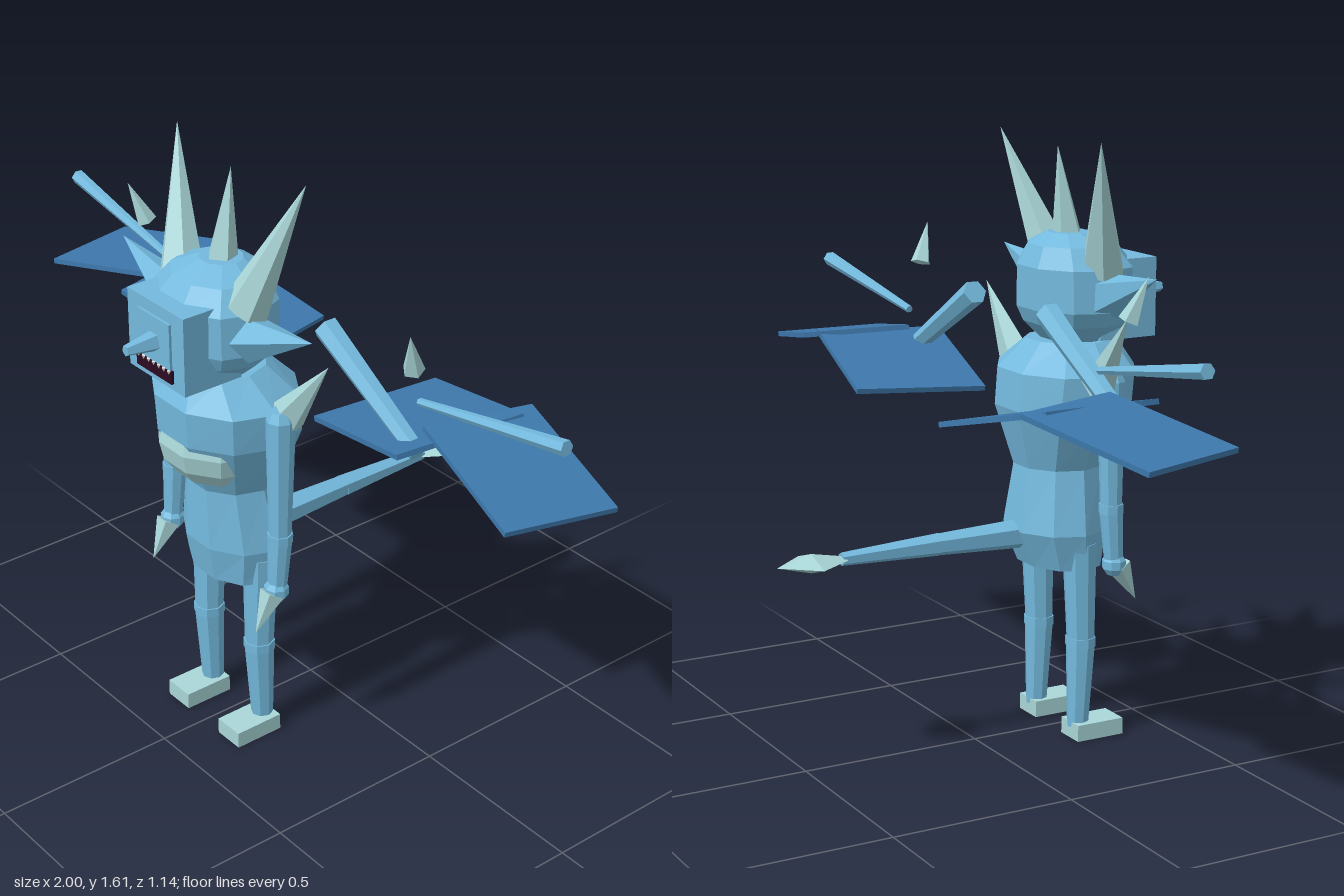
import * as THREE from 'three';

const paint = (name, color) => {
  const m = new THREE.MeshStandardMaterial({ color, flatShading: true });
  m.name = name;
  return m;
};
const V = (x, y, z) => new THREE.Vector3(x, y, z);

export function createModel() {
  const skin = paint('sky blue skin', 0x74bade);
  const bone = paint('pale horn', 0xa9d6d8);
  const membrane = paint('deep blue membrane', 0x3d78ac);
  const maw = paint('dark mouth', 0x2c0a22);
  const ivory = paint('ivory teeth', 0xf0eee4);
  const model = new THREE.Group();

  const add = (name, geo, mat, parent = model) => {
    const m = new THREE.Mesh(geo, mat);
    m.name = name;
    parent.add(m);
    return m;
  };
  const box = (name, mat, w, h, d, x, y, z, parent) => {
    const m = add(name, new THREE.BoxGeometry(w, h, d), mat, parent);
    m.position.set(x, y, z);
    return m;
  };
  // tapered limb from a to b; an end radius of 0 makes a spike
  const rod = (name, mat, a, b, ra, rb, sides = 6, parent = model) => {
    const dir = b.clone().sub(a);
    const m = add(name, new THREE.CylinderGeometry(rb, ra, dir.length(), sides), mat, parent);
    m.position.copy(a).add(b).multiplyScalar(0.5);
    m.quaternion.setFromUnitVectors(V(0, 1, 0), dir.normalize());
    return m;
  };
  // stacked elliptical rings: [y, half width, centre z, half depth]
  const loft = (name, mat, rings, sides = 10) => {
    const n = rings.length - 1;
    const g = new THREE.CylinderGeometry(1, 1, 1, sides, n, false, Math.PI / sides);
    const p = g.attributes.position;
    for (let i = 0; i < p.count; i++) {
      const [y, rx, zc, rz] = rings[Math.round((p.getY(i) + 0.5) * n)];
      p.setXYZ(i, p.getX(i) * rx, y, zc + p.getZ(i) * rz);
    }
    g.computeVertexNormals();
    return add(name, g, mat);
  };
  // thin rectangular plate spanned by three neighbouring corners
  const plate = (name, mat, a, b, c, thick, parent) => {
    const u = a.clone().sub(b), v = c.clone().sub(b);
    const m = add(name, new THREE.BoxGeometry(u.length(), thick, v.length()), mat, parent);
    m.position.copy(a).add(c).multiplyScalar(0.5);
    const x = u.normalize(), y = v.clone().cross(x).normalize();
    m.quaternion.setFromRotationMatrix(new THREE.Matrix4().makeBasis(x, y, x.clone().cross(y)));
    return m;
  };

  // torso and belly
  loft('torso', skin, [
    [0.47, 0.145, 0.255, 0.105], [0.57, 0.163, 0.243, 0.136], [0.74, 0.13, 0.255, 0.122],
    [0.9, 0.205, 0.268, 0.182], [1.0, 0.212, 0.275, 0.18], [1.075, 0.12, 0.29, 0.12],
  ]);
  const belly = add('belly', new THREE.SphereGeometry(1, 10, 8), bone);
  belly.scale.set(0.165, 0.135, 0.155);
  belly.position.set(0, 0.87, 0.3);

  // head, muzzle, nose and mouth
  loft('head', skin, [
    [1.065, 0.09, 0.3, 0.08], [1.12, 0.155, 0.3, 0.135], [1.16, 0.178, 0.3, 0.152],
    [1.27, 0.175, 0.3, 0.152], [1.325, 0.13, 0.29, 0.115], [1.355, 0.06, 0.28, 0.055],
  ]);
  box('muzzle', skin, 0.23, 0.21, 0.17, 0, 1.183, 0.395);
  box('muzzlePlate', skin, 0.13, 0.13, 0.01, 0, 1.19, 0.482);
  rod('nose', skin, V(0, 1.187, 0.47), V(0, 1.187, 0.57), 0.03, 0.014, 5);
  box('mouth', maw, 0.145, 0.034, 0.008, 0, 1.115, 0.485);
  for (let i = 0; i < 7; i++) {
    const x = (i - 3) * 0.021;
    rod('tooth', ivory, V(x, 1.133, 0.489), V(x, 1.122, 0.489), 0.006, 0, 4);
  }
  rod('crestSpike', bone, V(0, 1.32, 0.28), V(0, 1.58, 0.245), 0.045, 0, 5);

  // tail with a flat barbed tip
  rod('tailBase', skin, V(0, 0.555, 0.17), V(0, 0.557, -0.13), 0.042, 0.029);
  rod('tailEnd', skin, V(0, 0.557, -0.11), V(0, 0.555, -0.39), 0.031, 0.018);
  const barb = new THREE.Group();
  barb.name = 'tailBarb';
  barb.scale.set(1, 0.32, 1);
  barb.position.y = 0.555;
  rod('barbBase', bone, V(0, 0, -0.38), V(0, 0, -0.475), 0.02, 0.08, 4, barb);
  rod('barbPoint', bone, V(0, 0, -0.475), V(0, 0, -0.57), 0.08, 0, 4, barb);
  model.add(barb);

  for (const s of [1, -1]) {
    const P = (x, y, z) => V(s * x, y, z);

    // horns, ears and shoulder spikes
    rod('horn', bone, P(0.13, 1.27, 0.305), P(0.255, 1.61, 0.218), 0.06, 0, 6);
    rod('ear', skin, P(0.15, 1.2, 0.31), P(0.385, 1.277, 0.305), 0.062, 0, 5);
    rod('shoulderSpike', bone, P(0.21, 0.98, 0.25), P(0.36, 1.18, 0.235), 0.05, 0, 5);

    // arms
    rod('upperArm', skin, P(0.225, 0.65, 0.28), P(0.225, 0.995, 0.275), 0.029, 0.038, 8);
    rod('shoulderCap', skin, P(0.225, 0.995, 0.275), P(0.225, 1.02, 0.275), 0.038, 0.025, 8);
    rod('elbow', skin, P(0.225, 0.645, 0.28), P(0.225, 0.67, 0.28), 0.033, 0.033, 8);
    rod('forearm', skin, P(0.225, 0.51, 0.29), P(0.225, 0.655, 0.28), 0.025, 0.032, 8);
    const hand = add('hand', new THREE.SphereGeometry(0.034, 8, 5), skin);
    hand.position.copy(P(0.225, 0.505, 0.292));
    rod('claw', bone, P(0.225, 0.5, 0.305), P(0.225, 0.4, 0.36), 0.034, 0, 5);

    // legs
    rod('thigh', skin, P(0.11, 0.265, 0.262), P(0.11, 0.54, 0.255), 0.038, 0.047, 8);
    rod('knee', skin, P(0.11, 0.255, 0.262), P(0.11, 0.28, 0.262), 0.042, 0.042, 8);
    rod('shin', skin, P(0.11, 0.03, 0.255), P(0.11, 0.265, 0.262), 0.029, 0.04, 8);
    box('foot', bone, 0.088, 0.045, 0.14, s * 0.112, 0.0225, 0.3);

    // wings: two struts, two membrane panels and a thorn
    const wing = new THREE.Group();
    wing.name = s > 0 ? 'leftWing' : 'rightWing';
    model.add(wing);
    rod('innerStrut', skin, P(0.19, 1.18, 0.105), P(0.54, 0.978, 0.105), 0.034, 0.024, 6, wing);
    rod('outerStrut', skin, P(0.5, 1.09, 0.068), P(0.98, 1.172, 0.052), 0.01, 0.02, 6, wing);
    plate('innerMembrane', membrane, P(0.23, 0.935, -0.235), P(0.17, 0.92, 0.118),
      P(0.567, 1.013, 0.203), 0.014, wing);
    plate('outerMembrane', membrane, P(0.6, 1.025, -0.21), P(0.998, 0.957, -0.11),
      P(0.925, 0.967, 0.18), 0.014, wing);
    rod('thorn', bone, P(0.54, 1.212, 0.125), P(0.568, 1.322, 0.162), 0.028, 0, 5, wing);
  }
  return model;
}
